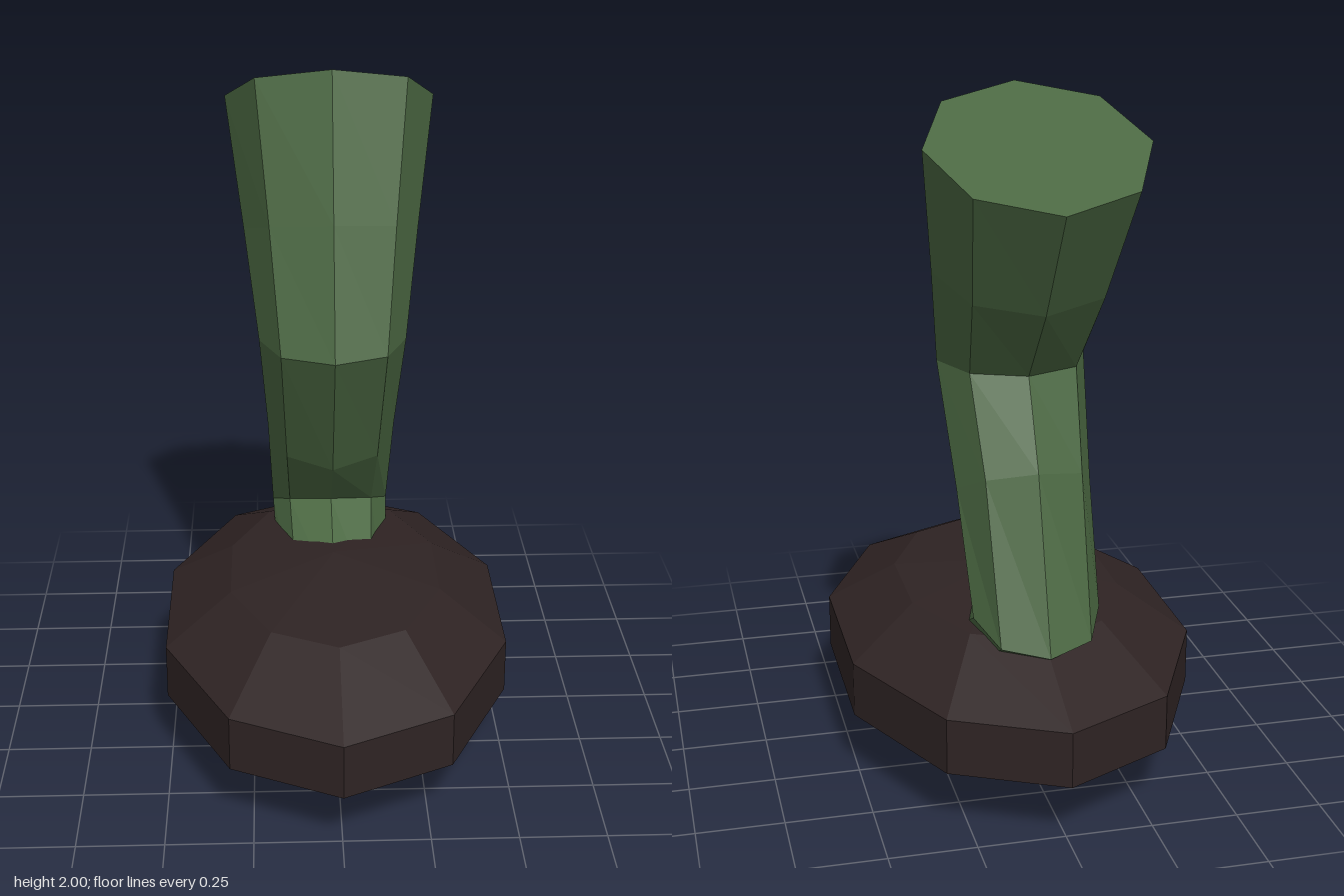
import * as THREE from 'three';

const SIDES = 8;

// Leg cross-sections from top to toe: [front z, front y, back z, back y, half width]
const LEG_RINGS = [
  [-0.12, 2.0, -0.688, 1.73, 0.315],
  [0.02, 1.58, -0.49, 1.42, 0.262],
  [0.14, 1.2, -0.302, 1.2, 0.22],
  [-0.07, 0.775, -0.42, 0.95, 0.198],
  [-0.24, 0.6, -0.572, 0.455, 0.185],
  [0.12, 0.43, -0.1, 0.2, 0.16],
];

// Point on a tilted elliptical ring; angle 0 is the front, then round by +x
function ringPoint([fz, fy, bz, by, w], i) {
  const a = (i / SIDES) * Math.PI * 2;
  const c = Math.cos(a) / 2;
  return [Math.sin(a) * w, (fy + by) / 2 + (fy - by) * c, (fz + bz) / 2 + (fz - bz) * c];
}

// Lofts the rings into a closed, faceted tube
function loft(rings) {
  const pos = [];
  const tri = (a, b, c) => pos.push(...a, ...b, ...c);
  for (let r = 0; r < rings.length - 1; r++) {
    for (let i = 0; i < SIDES; i++) {
      const a = ringPoint(rings[r], i);
      const b = ringPoint(rings[r], i + 1);
      const c = ringPoint(rings[r + 1], i);
      const d = ringPoint(rings[r + 1], i + 1);
      tri(a, c, d);
      tri(a, d, b);
    }
  }
  // End caps
  const first = rings[0];
  const last = rings[rings.length - 1];
  for (let i = 1; i < SIDES - 1; i++) {
    tri(ringPoint(first, 0), ringPoint(first, i), ringPoint(first, i + 1));
    tri(ringPoint(last, 0), ringPoint(last, i + 1), ringPoint(last, i));
  }
  const geo = new THREE.BufferGeometry();
  geo.setAttribute('position', new THREE.Float32BufferAttribute(pos, 3));
  geo.computeVertexNormals();
  return geo;
}

export function createModel() {
  const group = new THREE.Group();
  const green = new THREE.MeshStandardMaterial({ color: 0x4a6741, flatShading: true });
  green.name = 'trouser green';
  const brown = new THREE.MeshStandardMaterial({ color: 0x2e2323, flatShading: true });
  brown.name = 'shoe dark brown';

  // Bent leg, running on into the shoe
  const leg = new THREE.Mesh(loft(LEG_RINGS), green);
  leg.name = 'leg';
  group.add(leg);

  // Shoe: coarse ellipsoid with a corner at the toe and the heel
  const shoeGeo = new THREE.SphereGeometry(1, 10, 5, Math.PI / 2);
  shoeGeo.scale(0.564, 0.265, 0.851);
  shoeGeo.translate(0, 0.265, 0);
  const shoe = new THREE.Mesh(shoeGeo, brown);
  shoe.name = 'shoe';
  group.add(shoe);

  return group;
}
